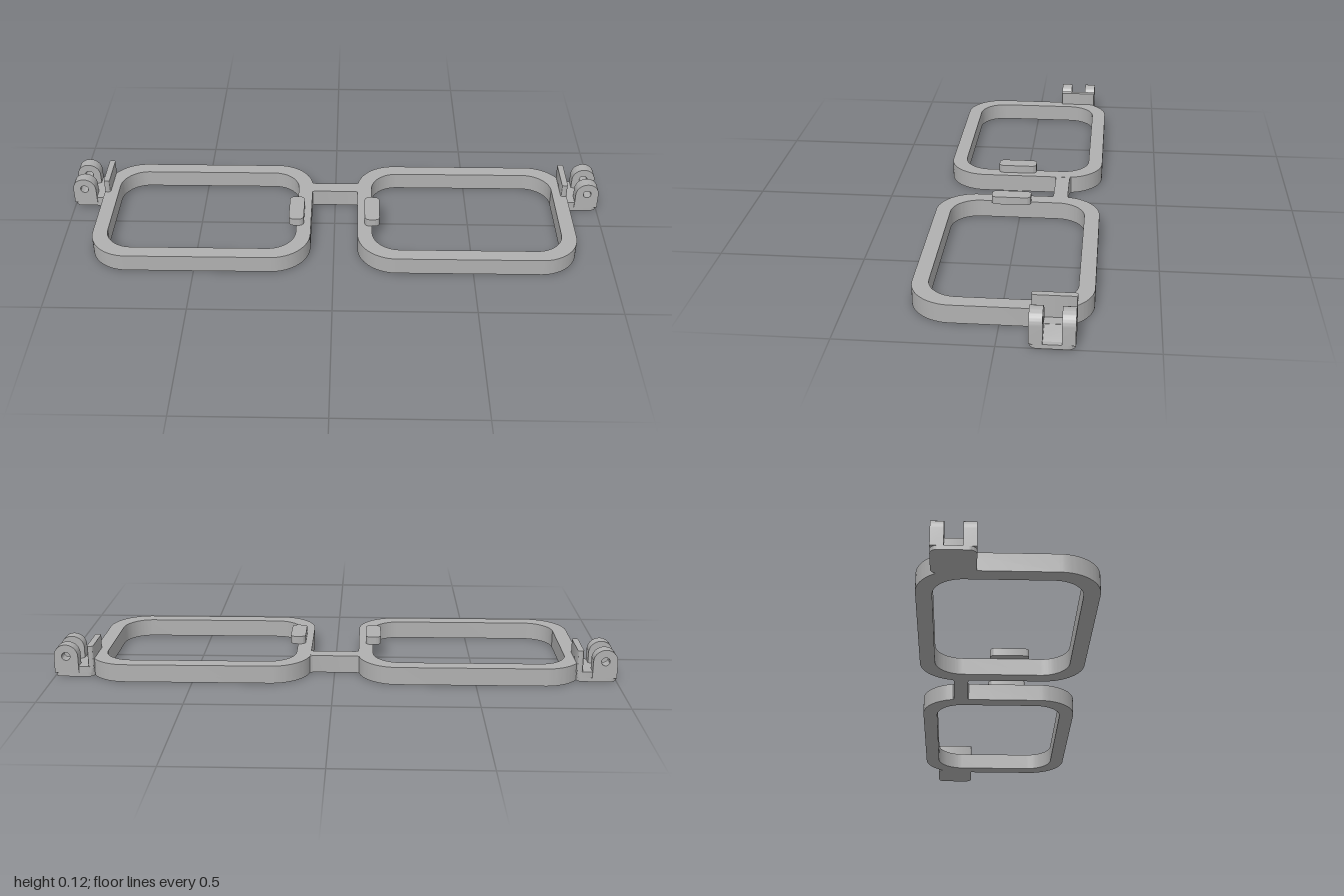
import * as THREE from 'three';
import { toCreasedNormals } from 'three/addons/utils/BufferGeometryUtils.js';

const grey = new THREE.MeshStandardMaterial({ color: 0xb0b0b0 });
grey.name = 'grey plastic';

// Rounded rectangle in plan; z0 < z1 are model z values
function roundedRect(path, x0, x1, z0, z1, r) {
  const y0 = -z1, y1 = -z0;
  path.moveTo(x0 + r, y0);
  path.lineTo(x1 - r, y0);
  path.absarc(x1 - r, y0 + r, r, -Math.PI / 2, 0);
  path.lineTo(x1, y1 - r);
  path.absarc(x1 - r, y1 - r, r, 0, Math.PI / 2);
  path.lineTo(x0 + r, y1);
  path.absarc(x0 + r, y1 - r, r, Math.PI / 2, Math.PI);
  path.lineTo(x0, y0 + r);
  path.absarc(x0 + r, y0 + r, r, Math.PI, Math.PI * 1.5);
  return path;
}

function extrude(shape, depth) {
  return new THREE.ExtrudeGeometry(shape, { depth, bevelEnabled: false, curveSegments: 14 });
}

function add(parent, name, geometry) {
  const mesh = new THREE.Mesh(toCreasedNormals(geometry, 0.5), grey);
  mesh.name = name;
  parent.add(mesh);
}

// Plan shape raised from y0 to y1
function slab(parent, name, shape, y0, y1) {
  add(parent, name, extrude(shape, y1 - y0).rotateX(-Math.PI / 2).translate(0, y0, 0));
}

// Rounded rectangle on the given side (s = 1 left, -1 right)
function sideRect(s, a, b, z0, z1, r, path = new THREE.Shape()) {
  return roundedRect(path, Math.min(s * a, s * b), Math.max(s * a, s * b), z0, z1, r);
}

// Knuckle profile with round top and pin hole, extruded along z
function knuckle(parent, name, s, z0, z1) {
  const cx = s * 0.957, cy = 0.075, r = 0.043;
  const shape = new THREE.Shape();
  shape.moveTo(cx - r, 0.014);
  shape.lineTo(cx + r, 0.014);
  shape.lineTo(cx + r, cy);
  shape.absarc(cx, cy, r, 0, Math.PI);
  shape.lineTo(cx - r, 0.014);
  shape.holes.push(new THREE.Path().absarc(cx, cy, 0.015, 0, Math.PI * 2, true));
  add(parent, name, extrude(shape, z1 - z0).translate(0, 0, z0));
}

function hinge(s) {
  const group = new THREE.Group();
  group.name = s > 0 ? 'leftHinge' : 'rightHinge';
  // Base with rounded plan corners, and the raised step next to the rim
  slab(group, 'hingeBase', sideRect(s, 0.858, 1.0, -0.242, -0.1, 0.025), 0, 0.015);
  slab(group, 'hingeStep', sideRect(s, 0.86, 0.918, -0.242, -0.1, 0.012), 0.015, 0.037);
  // Upright stop
  slab(group, 'hingeStop', sideRect(s, 0.858, 0.88, -0.242, -0.1, 0.008), 0.03, 0.114);
  knuckle(group, 'frontKnuckle', s, -0.142, -0.1);
  knuckle(group, 'rearKnuckle', s, -0.242, -0.2);
  // Low ramp between the knuckles
  const ramp = new THREE.Shape([
    new THREE.Vector2(s * 0.915, 0.014), new THREE.Vector2(s * 0.985, 0.014),
    new THREE.Vector2(s * 0.965, 0.023), new THREE.Vector2(s * 0.915, 0.037),
  ]);
  add(group, 'hingeRamp', extrude(ramp, 0.058).translate(0, 0, -0.2));
  return group;
}

// Bridge bar with concave fillets where it meets the rims
function bridgeShape() {
  const shape = new THREE.Shape();
  shape.moveTo(-0.1, 0.108);
  shape.quadraticCurveTo(-0.088, 0.12, -0.07, 0.12);
  shape.lineTo(0.07, 0.12);
  shape.quadraticCurveTo(0.088, 0.12, 0.1, 0.108);
  shape.lineTo(0.115, 0.14);
  shape.lineTo(0.1, 0.19);
  shape.quadraticCurveTo(0.09, 0.172, 0.07, 0.172);
  shape.lineTo(-0.07, 0.172);
  shape.quadraticCurveTo(-0.09, 0.172, -0.1, 0.19);
  shape.lineTo(-0.115, 0.14);
  shape.closePath();
  return shape;
}

export function createModel() {
  const model = new THREE.Group();
  model.name = 'spectacleFrame';
  for (const s of [1, -1]) {
    const side = s > 0 ? 'left' : 'right';
    // Lens rim
    const rim = sideRect(s, 0.086, 0.88, -0.292, 0.292, 0.14);
    rim.holes.push(sideRect(s, 0.139, 0.827, -0.239, 0.239, 0.1, new THREE.Path()));
    slab(model, side + 'Rim', rim, 0, 0.064);
    // Nose pad overhanging the opening
    slab(model, side + 'NosePad', sideRect(s, 0.112, 0.167, -0.042, 0.1, 0.018), 0.064, 0.093);
    model.add(hinge(s));
  }
  slab(model, 'bridge', bridgeShape(), 0, 0.0635);
  return model;
}
